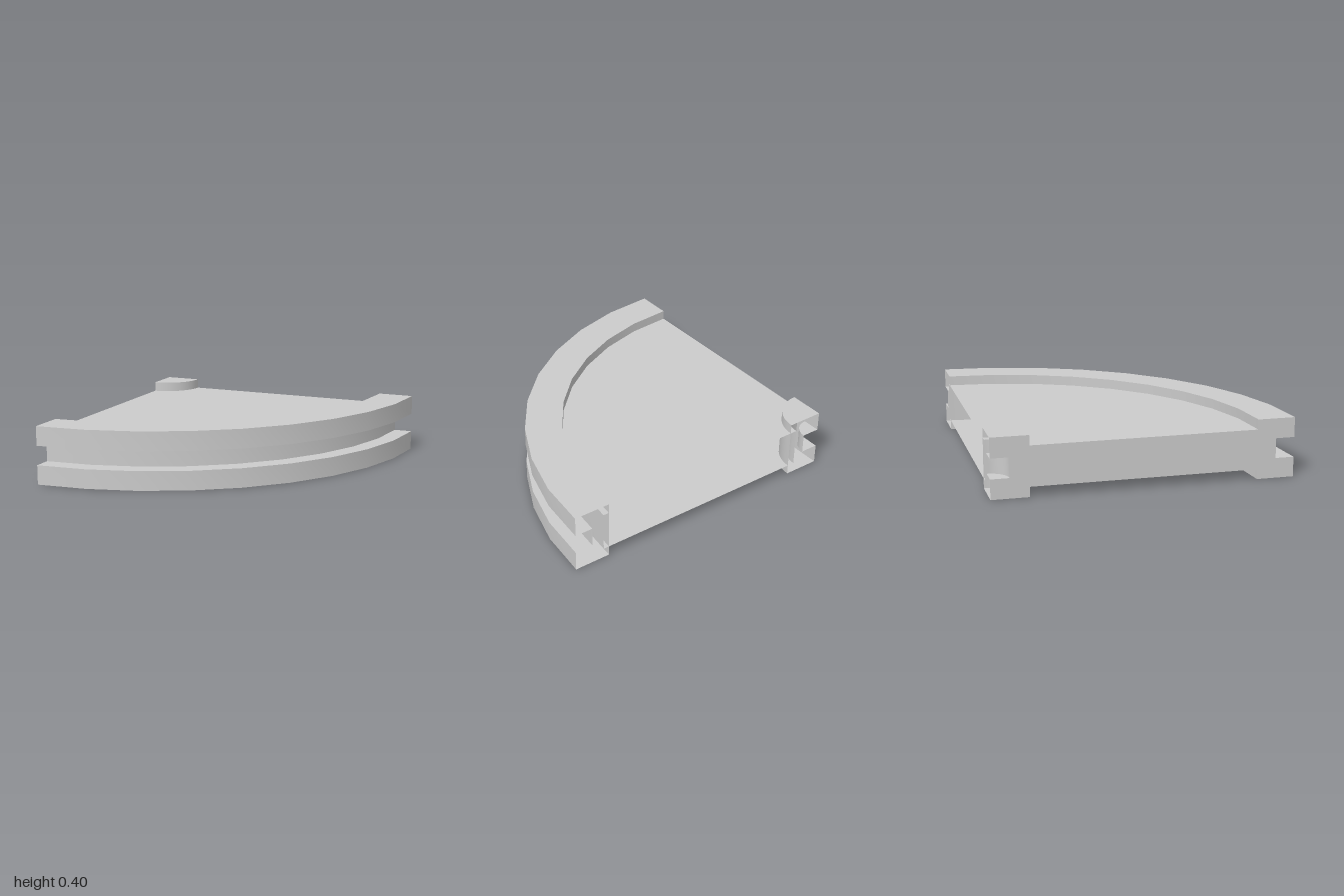
import * as THREE from 'three';
import { mergeGeometries, toCreasedNormals } from 'three/addons/utils/BufferGeometryUtils.js';

const H = 0.4;                       // total height
const G0 = H / 3, G1 = (2 * H) / 3;  // groove bottom and top
const W0 = H / 6, W1 = (5 * H) / 6;  // web bottom and top

// Quarter revolution of a closed (radius, height) profile:
// capped on the x = -1 cut, left open on the z = -1 cut.
function quarterRing(name, profile) {
  const points = profile.map(([r, y]) => new THREE.Vector2(r, y));
  const sweep = new THREE.LatheGeometry([...points, points[0].clone()], 9, 0, Math.PI / 2);
  const cap = new THREE.ShapeGeometry(new THREE.Shape(points));
  cap.rotateY(-Math.PI / 2);
  const geometry = mergeGeometries([
    toCreasedNormals(sweep, Math.PI / 6),
    cap.toNonIndexed(),
  ]);
  const material = new THREE.MeshStandardMaterial({ color: 0xcccccc, side: THREE.DoubleSide });
  const mesh = new THREE.Mesh(geometry, material);
  mesh.name = name;
  mesh.position.set(-1, 0, -1);
  return mesh;
}

export function createModel() {
  const group = new THREE.Group();
  group.name = 'quarterPulley';

  // Hub with a groove around the axis
  group.add(quarterRing('hub', [
    [0, 0], [0.25, 0], [0.25, H], [0, H],
    [0, G1], [0.125, G1], [0.125, G0], [0, G0],
  ]));

  // Flat web, its ends tucked into hub and rim
  group.add(quarterRing('web', [[0.2, W0], [1.79, W0], [1.79, W1], [0.2, W1]]));

  // Rim with the outer groove
  group.add(quarterRing('rim', [
    [1.75, 0], [2, 0], [2, G0], [1.875, G0],
    [1.875, G1], [2, G1], [2, H], [1.75, H],
  ]));

  return group;
}
